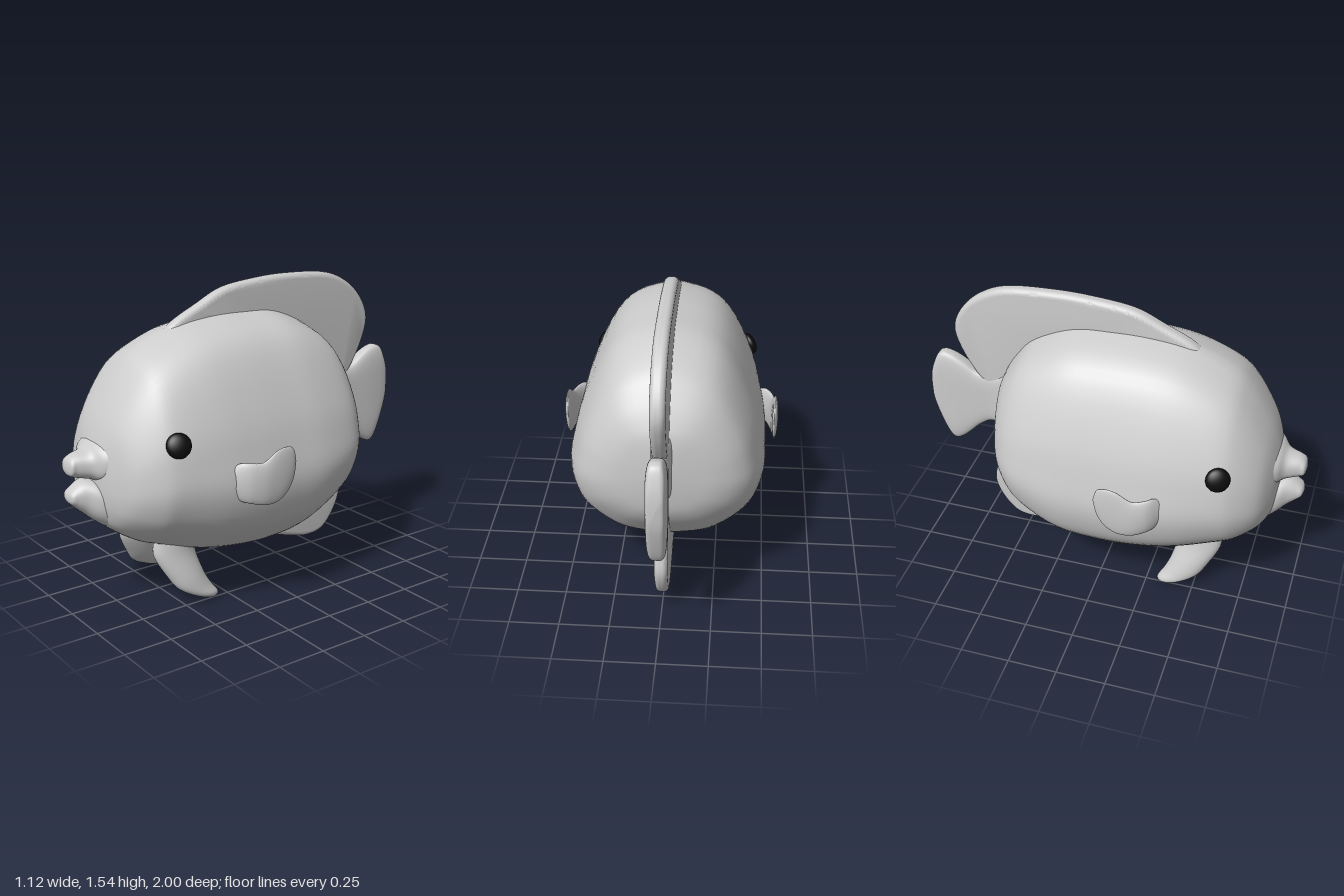
import * as THREE from 'three';
import { toCreasedNormals } from 'three/addons/utils/BufferGeometryUtils.js';

const skin = new THREE.MeshStandardMaterial({ name: 'grey skin', color: 0xcccccc });
const black = new THREE.MeshStandardMaterial({ name: 'eye black', color: 0x0c0c0c });

// Catmull-Rom interpolation of every number in a list of section rows
function sampleRow(rows, t) {
  const i = Math.min(Math.floor(t), rows.length - 2), f = t - i;
  const at = (k) => rows[Math.max(0, Math.min(rows.length - 1, k))];
  return rows[i].map((p1, c) => {
    const p0 = at(i - 1)[c], p2 = at(i + 1)[c], p3 = at(i + 2)[c];
    const m1 = (p2 - p0) / 2, m2 = (p3 - p1) / 2;
    return p1 + f * (m1 + f * (3 * (p2 - p1) - 2 * m1 - m2 + f * (2 * (p1 - p2) + m1 + m2)));
  });
}

// Smooth skin through closed sections; point(row, u) gives a point on a section, u in 0..1
function loft(rows, point, around = 48, sub = 5) {
  const steps = (rows.length - 1) * sub, pos = [], index = [];
  for (let i = 0; i <= steps; i++) {
    const row = sampleRow(rows, i / sub);
    for (let j = 0; j < around; j++) pos.push(...point(row, j / around));
  }
  for (let i = 0; i < steps; i++) {
    for (let j = 0; j < around; j++) {
      const a = i * around + j, b = i * around + (j + 1) % around;
      index.push(a, b, a + around, b, b + around, a + around);
    }
  }
  // Turn the faces outward if the enclosed volume is negative
  const v = (k) => new THREE.Vector3().fromArray(pos, k * 3);
  let volume = 0;
  for (let k = 0; k < index.length; k += 3) volume += v(index[k]).dot(v(index[k + 1]).cross(v(index[k + 2])));
  if (volume < 0) index.reverse();
  const geo = new THREE.BufferGeometry();
  geo.setAttribute('position', new THREE.Float32BufferAttribute(pos, 3));
  geo.setIndex(index);
  geo.computeVertexNormals();
  return geo;
}

// Unit superellipse: power 1 is a circle, smaller is boxier
function superEllipse(u, power) {
  const soft = (v) => Math.sign(v) * Math.abs(v) ** power;
  return [soft(Math.cos(u * 2 * Math.PI)), soft(Math.sin(u * 2 * Math.PI))];
}

// Flat fin in the middle plane with rounded rims; points are [z, y]
function midFin(curve, inner, half) {
  const [first, ...rest] = curve.map((p) => new THREE.Vector2(...p));
  const shape = new THREE.Shape().moveTo(first.x, first.y);
  shape.splineThru(rest);
  inner.forEach((p) => shape.lineTo(...p));
  const bevel = half * 0.8, depth = 2 * (half - bevel);
  const geo = new THREE.ExtrudeGeometry(shape, {
    depth, curveSegments: 50, bevelEnabled: true, bevelSize: bevel,
    bevelThickness: bevel, bevelOffset: -bevel, bevelSegments: 5,
  });
  geo.translate(0, 0, -depth / 2).rotateY(-Math.PI / 2);
  return toCreasedNormals(geo, 0.7);
}

export function createModel() {
  const model = new THREE.Group();
  model.name = 'fish';
  const add = (name, geo, mat = skin) => {
    const mesh = new THREE.Mesh(geo, mat);
    mesh.name = name;
    model.add(mesh);
    return mesh;
  };

  // Body: pear-shaped sections, rounder toward both ends
  const half = [[0, 0], [0.4, 0.025], [0.63, 0.075], [0.86, 0.17], [0.96, 0.26], [1, 0.37],
    [0.95, 0.49], [0.85, 0.64], [0.62, 0.85], [0.38, 0.95], [0, 1]];
  const pear = new THREE.SplineCurve(half.map((p) => new THREE.Vector2(...p)));
  const bodyPoint = ([z, top, bottom, width, round], u) => {
    const side = u < 0.5 ? 1 : -1;
    const p = pear.getPoint(u < 0.5 ? u * 2 : 2 - u * 2);
    const t = THREE.MathUtils.clamp(p.y, 0, 1);
    const w = THREE.MathUtils.lerp(p.x, 2 * Math.sqrt(t * (1 - t)), round);
    return [side * width * w, bottom + (top - bottom) * t, z];
  };
  // z, top, bottom, half width, roundness
  add('body', loft([
    [0.88, 0.69, 0.67, 0, 0.5], [0.873, 0.79, 0.55, 0.1, 0.5], [0.85, 0.89, 0.47, 0.2, 0.5],
    [0.8, 1.01, 0.41, 0.31, 0.45], [0.7, 1.17, 0.34, 0.4, 0.35], [0.6, 1.27, 0.3, 0.44, 0.3],
    [0.4, 1.355, 0.235, 0.48, 0.1], [0.2, 1.385, 0.2, 0.495, 0], [0, 1.385, 0.19, 0.495, 0],
    [-0.2, 1.365, 0.22, 0.49, 0], [-0.4, 1.27, 0.33, 0.445, 0.1], [-0.5, 1.16, 0.44, 0.375, 0.2],
    [-0.56, 1.06, 0.53, 0.27, 0.3], [-0.59, 0.98, 0.62, 0.14, 0.4], [-0.61, 0.83, 0.8, 0, 0.5],
  ], bodyPoint, 72));

  // Lips: z, top, bottom, half width
  const lipPoint = ([z, top, bottom, width], u) => {
    const [cx, cy] = superEllipse(u, 0.85);
    return [width * cx, (top + bottom) / 2 + (top - bottom) / 2 * cy, z];
  };
  add('upperLip', loft([[0.82, 0.88, 0.67, 0.18], [0.865, 0.855, 0.675, 0.14], [0.9, 0.825, 0.685, 0.09],
    [0.96, 0.812, 0.7, 0.06], [0.99, 0.79, 0.715, 0.05], [1, 0.755, 0.745, 0]], lipPoint));
  add('lowerLip', loft([[0.74, 0.64, 0.38, 0.14], [0.8, 0.66, 0.415, 0.15], [0.87, 0.675, 0.465, 0.12],
    [0.92, 0.675, 0.51, 0.08], [0.96, 0.655, 0.545, 0.06], [0.99, 0.63, 0.575, 0.045],
    [1, 0.605, 0.595, 0]], lipPoint));

  // Fins along the middle
  add('dorsalFin', midFin([[0.5, 1.27], [0.4, 1.365], [0.25, 1.44], [0.1, 1.505], [-0.1, 1.53], [-0.3, 1.535],
    [-0.55, 1.515], [-0.7, 1.45], [-0.8, 1.35], [-0.84, 1.24], [-0.81, 1.12], [-0.74, 0.99], [-0.68, 0.92]],
  [[-0.5, 0.94], [-0.45, 1.08], [-0.3, 1.22], [0, 1.28], [0.3, 1.24], [0.45, 1.18]], 0.036));
  add('analFin', midFin([[0.2, 0.215], [0.05, 0.185], [-0.1, 0.16], [-0.3, 0.095], [-0.45, 0.06],
    [-0.56, 0.08], [-0.64, 0.17], [-0.68, 0.28], [-0.66, 0.4], [-0.625, 0.53], [-0.59, 0.68]],
  [[-0.5, 0.68], [-0.4, 0.48], [-0.2, 0.34], [0, 0.3], [0.2, 0.3]], 0.033));

  // Tail: z, top, bottom, half thickness
  add('tailFin', loft([[-0.54, 1.04, 0.64, 0.07], [-0.6, 1.0, 0.665, 0.05], [-0.67, 0.98, 0.69, 0.042],
    [-0.74, 0.99, 0.65, 0.045], [-0.8, 1.03, 0.59, 0.048], [-0.85, 1.06, 0.545, 0.05],
    [-0.89, 1.075, 0.53, 0.05], [-0.92, 1.078, 0.56, 0.049], [-0.95, 1.06, 0.63, 0.047],
    [-0.98, 0.99, 0.725, 0.042], [-0.994, 0.93, 0.79, 0.032], [-1, 0.87, 0.86, 0],
  ], ([z, top, bottom, w], u) => {
    const [cx, cy] = superEllipse(u, 0.5);
    return [w * cx, (top + bottom) / 2 + (top - bottom) / 2 * cy, z];
  }));

  for (const side of [1, -1]) {
    const prefix = side > 0 ? 'left' : 'right';

    // Side fin: z, centre x, centre y, half height, half thickness
    add(prefix + 'SideFin', loft([
      [0.365, 0.455, 0.68, 0.07, 0.03], [0.335, 0.485, 0.68, 0.095, 0.032], [0.3, 0.513, 0.675, 0.1, 0.027],
      [0.24, 0.535, 0.668, 0.107, 0.022], [0.17, 0.543, 0.692, 0.128, 0.018],
      [0.11, 0.543, 0.715, 0.115, 0.016], [0.07, 0.54, 0.735, 0.075, 0.012], [0.05, 0.537, 0.745, 0, 0],
    ], ([z, x, y, h, w], u) => {
      const [cx, cy] = superEllipse(u, 1);
      return [side * (x + w * cx), y + h * cy, z];
    }, 32));

    // Belly fin: y, centre x, centre z, half length, half thickness
    add(prefix + 'BellyFin', loft([
      [0.34, 0.16, 0.5, 0.12, 0.055], [0.26, 0.165, 0.51, 0.115, 0.062], [0.15, 0.195, 0.47, 0.1, 0.065],
      [0.08, 0.22, 0.43, 0.09, 0.055], [0.03, 0.245, 0.37, 0.06, 0.035], [0, 0.252, 0.335, 0, 0],
    ], ([y, x, z, l, w], u) => {
      const [cx, cz] = superEllipse(u, 1);
      return [side * (x + w * cx), y, z + l * cz];
    }, 32));

    // Eye: flattened ball facing outward
    const eye = add(prefix + 'Eye', new THREE.SphereGeometry(0.06, 32, 20), black);
    eye.position.set(side * 0.4, 0.895, 0.625);
    eye.lookAt(side * 1.4, 1.295, 1.025);
    eye.scale.z = 0.5;
  }
  return model;
}
